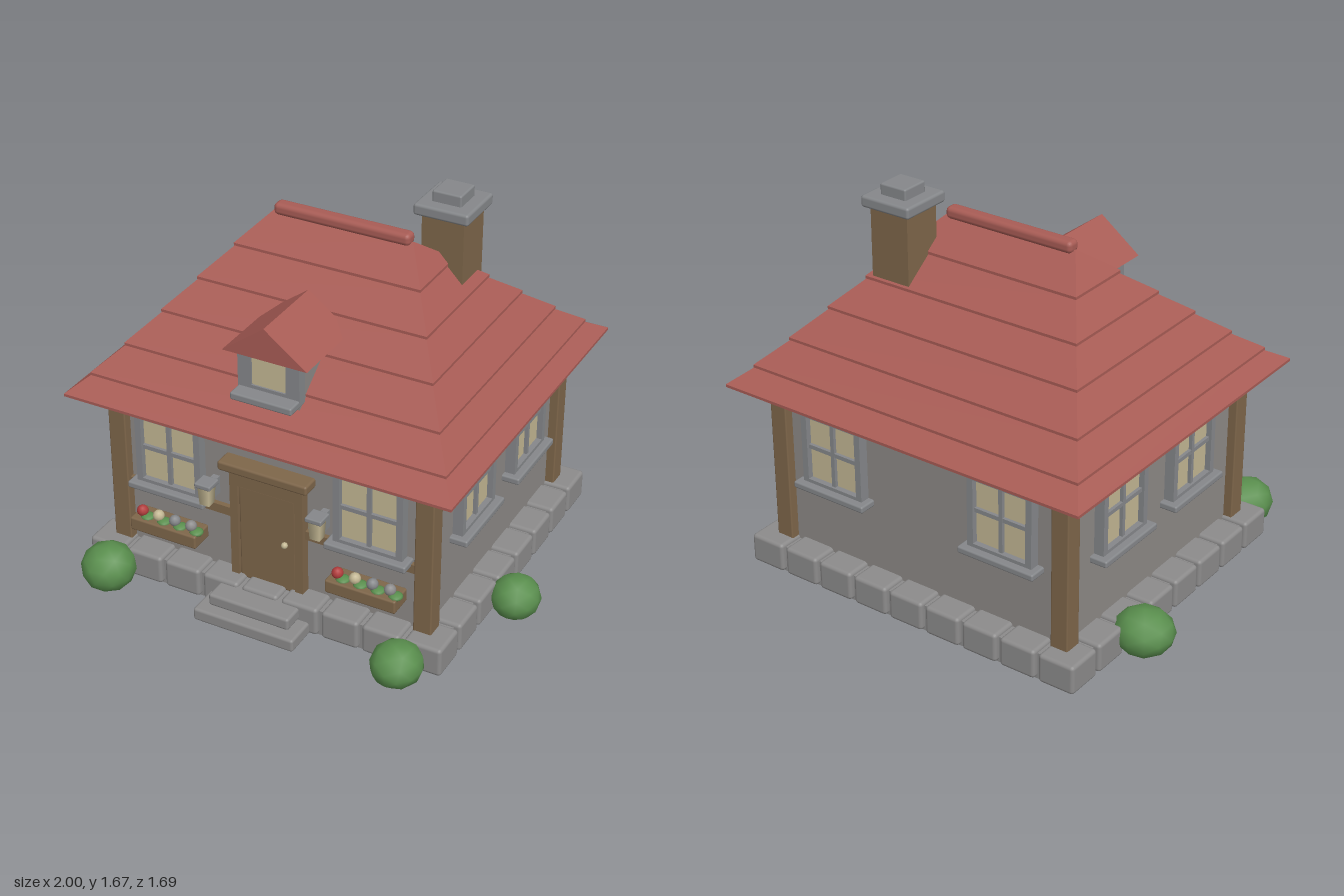
import * as THREE from 'three';
import { RoundedBoxGeometry } from 'three/addons/geometries/RoundedBoxGeometry.js';

const paint = (name, color) => Object.assign(new THREE.MeshStandardMaterial({ color }), { name });
const wall = paint('wall plaster', 0x8d8986);
const stone = paint('stone', 0x8c8b8b);
const trim = paint('grey trim', 0x85878a);
const timber = paint('timber', 0x7e664a);
const tile = paint('roof tile', 0xa85c55);
const glass = paint('pale glass', 0xc3b793);
const leaf = paint('leaf green', 0x5a8f4e);
const red = paint('red petals', 0xb23c3c);

function add(parent, name, geo, mat, x = 0, y = 0, z = 0) {
  const m = new THREE.Mesh(geo, mat);
  m.name = name;
  m.position.set(x, y, z);
  parent.add(m);
  return m;
}

// Box given by its limits; r rounds the edges
function box(parent, name, mat, [x0, x1], [y0, y1], [z0, z1], r = 0) {
  const s = [x1 - x0, y1 - y0, z1 - z0];
  const geo = r ? new RoundedBoxGeometry(...s, 2, r) : new THREE.BoxGeometry(...s);
  return add(parent, name, geo, mat, (x0 + x1) / 2, (y0 + y1) / 2, (z0 + z1) / 2);
}

function group(parent, name, x = 0, y = 0, z = 0, turn = 0) {
  const g = new THREE.Group();
  g.name = name;
  g.position.set(x, y, z);
  g.rotation.y = turn;
  parent.add(g);
  return g;
}

// Flat-faced solid through stacked rectangles [halfX, y, halfZ], closed below
function rectLoft(rings) {
  const pos = [];
  const corners = ([x, y, z]) => [[-x, y, z], [x, y, z], [x, y, -z], [-x, y, -z]];
  const quad = (a, b, c, d) => pos.push(...a, ...b, ...c, ...a, ...c, ...d);
  const loops = rings.map(corners);
  for (let i = 0; i + 1 < loops.length; i++)
    for (let k = 0; k < 4; k++) {
      const n = (k + 1) % 4;
      quad(loops[i][k], loops[i][n], loops[i + 1][n], loops[i + 1][k]);
    }
  const [a, b, c, d] = loops[0];
  quad(a, d, c, b);
  const geo = new THREE.BufferGeometry();
  geo.setAttribute('position', new THREE.Float32BufferAttribute(pos, 3));
  geo.computeVertexNormals();
  return geo;
}

// Four-pane window, facing +z from the wall plane
function addWindow(parent, x, z, turn) {
  const g = group(parent, 'window', x, 0, z, turn);
  const w = 0.153, gx = 0.125, y0 = 0.455, y1 = 0.8, g0 = 0.487, g1 = 0.772, d = [-0.01, 0.045];
  for (const s of [-1, 1]) box(g, 'windowJamb', trim, s < 0 ? [-w, -gx] : [gx, w], [y0, y1], d);
  box(g, 'windowHead', trim, [-gx, gx], [g1, y1], d);
  box(g, 'windowFoot', trim, [-gx, gx], [y0, g0], d);
  box(g, 'windowGlass', glass, [-gx, gx], [g0, g1], [0.012, 0.02]);
  box(g, 'mullion', trim, [-0.009, 0.009], [g0, g1], [0.01, 0.035]);
  box(g, 'glazingBar', trim, [-gx, gx], [0.626, 0.644], [0.01, 0.034]);
  box(g, 'windowSill', trim, [-0.181, 0.181], [0.442, 0.472], [-0.01, 0.077], 0.008);
}

function addFlowerBox(parent, x) {
  const g = group(parent, 'flowerBox', x, 0, 0.65);
  box(g, 'planter', timber, [-0.157, 0.157], [0.26, 0.32], [-0.04, 0.07], 0.008);
  [red, glass, trim, stone].forEach((mat, i) => {
    const fx = -0.118 + i * 0.078;
    add(g, 'flower', new THREE.IcosahedronGeometry(0.025, 1), mat, fx, 0.343, 0.03);
    const tuft = add(g, 'flowerLeaves', new THREE.IcosahedronGeometry(0.03, 1), leaf, fx + 0.025, 0.32, 0.03);
    tuft.scale.y = 0.5;
  });
}

function addLantern(parent, x) {
  const g = group(parent, 'lantern', x, 0, 0.69);
  box(g, 'lanternCap', trim, [-0.037, 0.037], [0.575, 0.597], [-0.037, 0.037], 0.006);
  const body = add(g, 'lanternGlass', new THREE.CylinderGeometry(0.038, 0.031, 0.085, 4), glass, 0, 0.533, 0);
  body.rotation.y = Math.PI / 4;
  box(g, 'lanternBracket', trim, [-0.015, 0.015], [0.5, 0.58], [-0.09, -0.02]);
}

export function createModel() {
  const model = new THREE.Group();
  model.name = 'cottage';
  const house = group(model, 'house', -0.007, 0, -0.08);

  // Foundation slab and ring of rounded stones
  box(house, 'foundationSlab', stone, [-0.79, 0.79], [0.022, 0.14], [-0.7, 0.7]);
  const block = (x, z) =>
    box(house, 'foundationStone', stone, [x - 0.083, x + 0.083], [0.028, 0.157], [z - 0.083, z + 0.083], 0.016);
  for (const s of [-1, 1]) {
    for (let i = 0; i < 9; i++) block(-0.737 + i * 0.18425, s * 0.642);
    for (let i = 1; i < 7; i++) block(s * 0.737, -0.642 + i * 0.1834);
  }
  box(house, 'lowerStep', stone, [-0.232, 0.232], [0.025, 0.083], [0.6, 0.862], 0.012);
  box(house, 'upperStep', stone, [-0.186, 0.186], [0.085, 0.14], [0.6, 0.815], 0.012);

  // Walls, corner posts and beams under the eaves
  box(house, 'walls', wall, [-0.7, 0.7], [0.12, 0.865], [-0.61, 0.61]);
  for (const x of [-0.7, 0.7]) {
    for (const z of [-0.61, 0.61])
      box(house, 'cornerPost', timber, [x - 0.04, x + 0.04], [0.14, 0.865], [z - 0.04, z + 0.04], 0.006);
    box(house, 'sideBeam', timber, [x - 0.03, x + 0.03], [0.8, 0.866], [-0.61, 0.61]);
  }
  for (const z of [-0.61, 0.61])
    box(house, 'endBeam', timber, [-0.7, 0.7], [0.8, 0.866], [z - 0.03, z + 0.03]);

  // Windows
  for (const s of [-1, 1]) {
    addWindow(house, s * 0.457, 0.61, 0);
    addWindow(house, s * 0.42, -0.61, Math.PI);
    for (const z of [0.236, -0.264]) addWindow(house, s * 0.7, z, s * Math.PI / 2);
  }

  // Front door
  for (const s of [-1, 1]) {
    box(house, 'frontRail', timber, s < 0 ? [-0.67, -0.15] : [0.15, 0.67], [0.415, 0.455], [0.6, 0.632]);
    box(house, 'doorJamb', timber, s < 0 ? [-0.167, -0.131] : [0.131, 0.167], [0.14, 0.655], [0.6, 0.655]);
    addFlowerBox(house, s * 0.457);
    addLantern(house, s * 0.253);
  }
  box(house, 'doorHead', timber, [-0.131, 0.131], [0.592, 0.655], [0.6, 0.655]);
  box(house, 'door', timber, [-0.13, 0.13], [0.14, 0.59], [0.6, 0.645], 0.008);
  box(house, 'doorLintel', timber, [-0.203, 0.203], [0.665, 0.707], [0.6, 0.687], 0.01);
  add(house, 'doorKnob', new THREE.SphereGeometry(0.014, 12, 8), glass, 0.084, 0.372, 0.655);

  // Hipped roof of overlapping courses, flared slightly at the eaves
  const depthAt = (y) => (y < 0.985 ? 0.76 - (y - 0.865) * 1.36 : (1.5 - y) * 1.165);
  const ring = (y, z) => [0.31 + 0.72 * z, y, z];
  const levels = [0.865, 0.935, 1.035, 1.15, 1.262, 1.377, 1.499];
  for (let i = 0; i < 6; i++) {
    const y = levels[i], top = levels[i + 1], z = depthAt(y) + 0.01;
    add(house, 'roofCourse', rectLoft([ring(y - 0.004, z), ring(y + 0.008, z), ring(top, depthAt(top))]), tile);
  }
  box(house, 'ridgeCap', tile, [-0.307, 0.307], [1.483, 1.536], [-0.031, 0.031], 0.02);

  // Dormer
  const dormer = group(house, 'dormer');
  box(dormer, 'dormerBody', wall, [-0.13, 0.13], [0.96, 1.21], [0.3, 0.6]);
  for (const s of [-1, 1])
    box(dormer, 'dormerJamb', trim, s < 0 ? [-0.137, -0.077] : [0.077, 0.137], [1.02, 1.207], [0.57, 0.615]);
  box(dormer, 'dormerFoot', trim, [-0.077, 0.077], [1.02, 1.06], [0.57, 0.615]);
  box(dormer, 'dormerGlass', glass, [-0.077, 0.077], [1.06, 1.207], [0.6, 0.607]);
  box(dormer, 'dormerSill', trim, [-0.137, 0.137], [1.012, 1.045], [0.57, 0.682], 0.008);
  const gable = new THREE.Shape([[-0.188, 1.204], [0.188, 1.204], [0, 1.345]].map((p) => new THREE.Vector2(...p)));
  add(dormer, 'dormerRoof', new THREE.ExtrudeGeometry(gable, { depth: 0.355, bevelEnabled: false }), tile, 0, 0, 0.29);

  // Chimney
  const chimney = group(house, 'chimney', 0.392, 0, -0.187);
  box(chimney, 'chimneyStack', timber, [-0.092, 0.092], [1.1, 1.585], [-0.092, 0.092]);
  box(chimney, 'chimneyCap', trim, [-0.12, 0.12], [1.578, 1.628], [-0.12, 0.12], 0.012);
  box(chimney, 'chimneyTop', trim, [-0.064, 0.064], [1.62, 1.675], [-0.064, 0.064], 0.008);

  // Bushes: centre, then radii
  const bushes = [
    [-0.87, 0.11, -0.375, 0.13, 0.1, 0.125], [-0.683, 0.105, 0.725, 0.117, 0.105, 0.12],
    [0.662, 0.1, 0.725, 0.11, 0.095, 0.115], [0.895, 0.1, 0.107, 0.105, 0.095, 0.11],
  ];
  bushes.forEach(([x, y, z, rx, ry, rz], i) => {
    const geo = new THREE.IcosahedronGeometry(1, 1).rotateY(i * 1.3).rotateX(i * 0.7);
    add(model, 'bush', geo, leaf, x, y, z).scale.set(rx, ry, rz);
  });
  return model;
}
